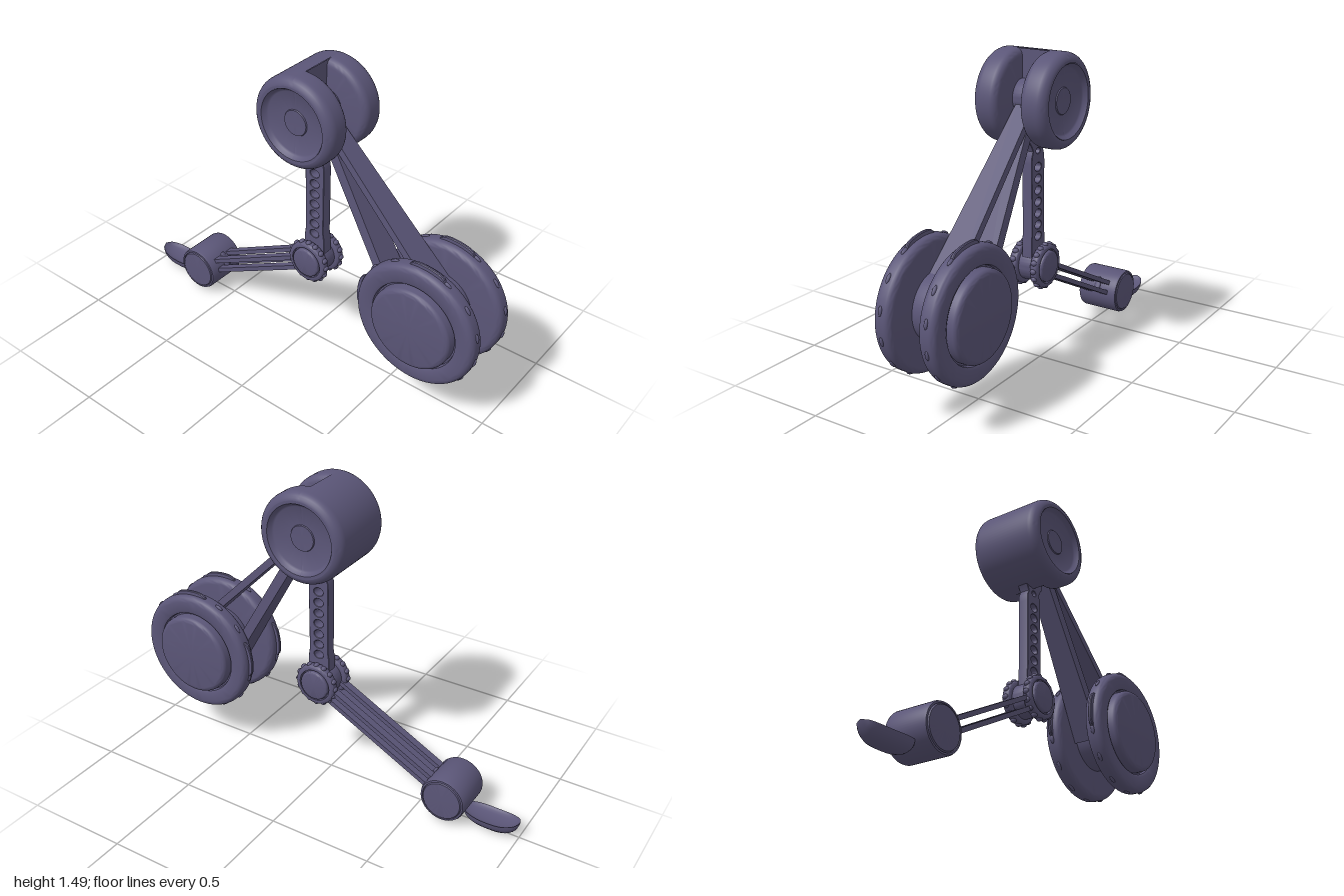
import * as THREE from 'three';
import { toCreasedNormals } from 'three/addons/utils/BufferGeometryUtils.js';

const slate = new THREE.MeshStandardMaterial({ color: 0x5b5678 });
slate.name = 'slate purple';
const slateOpen = slate;
slateOpen.side = THREE.DoubleSide;

function add(parent, name, geometry, x = 0, y = 0, z = 0) {
  const mesh = new THREE.Mesh(geometry, slate);
  mesh.name = name;
  mesh.position.set(x, y, z);
  parent.add(mesh);
  return mesh;
}

// Turned solid around the z axis; points are [radius, z] with z rising. Angle 0 points down, 90 degrees to +x.
function turned(points, start = 0, sweep = Math.PI * 2, segments = 64) {
  const g = new THREE.LatheGeometry(points.map(p => new THREE.Vector2(p[0], p[1])), segments, start, sweep);
  g.rotateX(Math.PI / 2);
  return toCreasedNormals(g, 0.6);
}

// Quarter-round corner between z and radius
function corner(r, z, c, outward) {
  const pts = [];
  for (let i = 0; i <= 6; i++) {
    const a = (i / 6) * Math.PI / 2;
    pts.push(outward > 0
      ? [r - c + c * Math.cos(a), z - c + c * Math.sin(a)]
      : [r - c + c * Math.sin(a), z + c - c * Math.cos(a)]);
  }
  return pts;
}

// Rounded disc profile
const disc = (r, z0, z1, c, inner = 0) => [[inner, z0], ...corner(r, z0, c, -1), ...corner(r, z1, c, 1), [inner, z1]];

// Bar between two points in the xy plane whose z width tapers
function bar(parent, name, a, b, thick, wide0, wide1, z = 0) {
  const dx = b[0] - a[0], dy = b[1] - a[1], len = Math.hypot(dx, dy);
  const g = new THREE.BoxGeometry(len, thick, 1);
  const p = g.attributes.position;
  for (let i = 0; i < p.count; i++) p.setZ(i, p.getZ(i) * (p.getX(i) < 0 ? wide0 : wide1));
  g.computeVertexNormals();
  const m = add(parent, name, g, (a[0] + b[0]) / 2, (a[1] + b[1]) / 2, z);
  m.rotation.z = Math.atan2(dy, dx);
}

// Top drum: solid on one half, split into two cheeks on the other
function hipDrum() {
  const g = new THREE.Group();
  g.name = 'hipDrum';
  g.position.set(0.05, 1.28, 0);
  const R = 0.213, H = 0.185;
  const face = [[0.178, H], [0.165, 0.181], [0.153, 0.162], [0.145, 0.157], [0.061, 0.15], [0.058, 0.155], [0, 0.155]];
  const back = face.map(([r, z]) => [r, -z]).reverse();
  const outer = corner(R, H, 0.045, 1);
  const outerBack = corner(R, -H, 0.045, -1);
  add(g, 'solidHalf', turned([...back, ...outerBack, ...outer, ...face], Math.PI, Math.PI, 40));
  add(g, 'frontCheek', turned([[0, 0.058], ...corner(R, 0.058, 0.035, -1), ...outer, ...face], 0, Math.PI, 40));
  add(g, 'backCheek', turned([...back, ...outerBack, ...corner(R, -0.058, 0.035, 1), [0, -0.058]], 0, Math.PI, 40));
  add(g, 'slotHub', turned(disc(0.08, -0.06, 0.06, 0.002)));
  // Walls closing both ends of the slot
  for (const s of [1, -1]) add(g, 'slotWall', new THREE.PlaneGeometry(0.19, R - 0.004).rotateY(Math.PI / 2), 0, s * R / 2, 0);
  return g;
}

// Double wheel with fins, studs and caps
function bigWheel() {
  const g = new THREE.Group();
  g.name = 'wheel';
  g.position.set(0.69, 0.51, 0);
  add(g, 'wheelHub', turned(disc(0.155, -0.09, 0.09, 0.005)));
  const fin = new THREE.Shape();
  for (let i = 0; i <= 16; i++) {
    const t = i / 8 - 1, a = t * 0.32;
    const r = 0.316 - 0.026 * Math.pow(Math.abs(t), 6);
    fin[i ? 'lineTo' : 'moveTo'](r * Math.cos(a), r * Math.sin(a));
  }
  fin.lineTo(0.28, 0.08);
  fin.lineTo(0.28, -0.08);
  const finGeo = new THREE.ExtrudeGeometry(fin, { depth: 0.008, bevelEnabled: true, bevelSize: 0.003, bevelThickness: 0.004, bevelSegments: 1 });
  finGeo.translate(0, 0, -0.004);
  for (const s of [1, -1]) {
    const side = new THREE.Group();
    side.name = s > 0 ? 'frontTire' : 'backTire';
    side.rotation.y = s > 0 ? 0 : Math.PI;
    g.add(side);
    add(side, 'tire', turned([[0.1, 0.07], ...corner(0.3, 0.07, 0.03, -1), ...corner(0.3, 0.156, 0.03, 1),
      [0.225, 0.156], [0.213, 0.15], [0.209, 0.135], [0.1, 0.135]]));
    add(side, 'cap', turned([[0.202, 0.12], ...corner(0.202, 0.188, 0.025, 1), [0, 0.188]]));
    for (let i = 0; i < 14; i++) {
      const a = (i + 0.5) / 14 * Math.PI * 2;
      const stud = add(side, 'stud', new THREE.SphereGeometry(1, 10, 8), 0.3 * Math.cos(a), 0.3 * Math.sin(a), 0.115);
      stud.scale.set(0.008, 0.022, 0.009);
      stud.rotation.z = a;
    }
    for (const deg of [83, 173]) {
      const f = add(side, 'fin', finGeo, 0, 0, 0.115);
      f.rotation.z = THREE.MathUtils.degToRad(s > 0 ? deg : 180 - deg);
    }
  }
  return g;
}

// Knee joint: two knurled rings on a core
function knee() {
  const g = new THREE.Group();
  g.name = 'knee';
  g.position.set(0.045, 0.5, 0);
  add(g, 'kneeCore', turned(disc(0.08, -0.05, 0.05, 0.004)));
  for (const s of [1, -1]) {
    const side = new THREE.Group();
    side.name = 'kneeSide';
    side.rotation.y = s > 0 ? 0 : Math.PI;
    g.add(side);
    add(side, 'kneeRing', turned([[0.05, 0.035], ...corner(0.103, 0.035, 0.014, -1), ...corner(0.103, 0.078, 0.014, 1), [0.08, 0.078], [0.078, 0.066], [0.05, 0.066]], 0, Math.PI * 2, 48));
    add(side, 'kneeCap', turned([[0.073, 0.06], ...corner(0.073, 0.087, 0.01, 1), [0, 0.087]], 0, Math.PI * 2, 48));
    for (let i = 0; i < 16; i++) {
      const a = i / 16 * Math.PI * 2;
      const k = add(side, 'kneeKnob', new THREE.SphereGeometry(1, 10, 8), 0.101 * Math.cos(a), 0.101 * Math.sin(a), 0.057);
      k.scale.set(0.012, 0.013, 0.016);
      k.rotation.z = a;
    }
  }
  return g;
}

// Perforated upper leg
function upperLeg() {
  const s = new THREE.Shape();
  const half = [[0.054, 0.55], [0.054, 0.62], [0.048, 0.66], [0.05, 0.99], [0.048, 1.02], [0.038, 1.045], [0.05, 1.07], [0.066, 1.09], [0.066, 1.12]];
  half.forEach(([x, y], i) => s[i ? 'lineTo' : 'moveTo'](x, y));
  half.slice().reverse().forEach(([x, y]) => s.lineTo(-x, y));
  const hole = (y, rx, ry) => s.holes.push(new THREE.Path().absellipse(0, y, rx, ry, 0, Math.PI * 2, true));
  for (let i = 0; i < 7; i++) hole(0.64 + i * 0.0545, 0.027, 0.022);
  hole(1.042, 0.018, 0.015);
  const g = new THREE.ExtrudeGeometry(s, { depth: 0.04, bevelEnabled: true, bevelThickness: 0.006, bevelSize: 0.003, bevelSegments: 2, curveSegments: 8 });
  return toCreasedNormals(g.translate(0, 0, -0.02), 0.6);
}

// Shallow bowl-shaped toe, lofted from cross-sections along x
function toe() {
  const nu = 20, nv = 20, pos = [], idx = [];
  for (let i = 0; i <= nu; i++) {
    const u = i / nu, t = 2 * u - 1;
    const x = -1 + 0.28 * u;
    const w = 0.062 * Math.pow(Math.max(0, 1 - Math.pow(Math.abs(t), 2.6)), 0.5);
    const rim = 0.063 + 0.024 * Math.pow(1 - u, 4) + 0.014 * u * u;
    const depth = (rim - 0.004) * Math.pow(Math.max(0, 1 - Math.pow(Math.abs(t), 3)), 0.6);
    for (let j = 0; j <= nv; j++) {
      const a = j / nv * Math.PI * 2, sn = Math.sin(a);
      pos.push(x, rim - (sn > 0 ? depth * sn : -sn * depth * 0.3), w * Math.cos(a));
    }
  }
  for (let i = 0; i < nu; i++) for (let j = 0; j < nv; j++) {
    const a = i * (nv + 1) + j, b = a + nv + 1;
    idx.push(a, a + 1, b, b, a + 1, b + 1);
  }
  const g = new THREE.BufferGeometry();
  g.setAttribute('position', new THREE.Float32BufferAttribute(pos, 3));
  g.setIndex(idx);
  return toCreasedNormals(g, 0.7);
}

export function createModel() {
  const model = new THREE.Group();
  model.name = 'mechanicalLeg';
  model.add(hipDrum(), bigWheel(), knee());

  // Arms from the drum to the wheel
  bar(model, 'lowerArm', [0.08, 1.28], [0.55, 0.46], 0.048, 0.085, 0.14);
  bar(model, 'upperArm', [0.08, 1.28], [0.72, 0.64], 0.034, 0.085, 0.14);

  add(model, 'upperLeg', upperLeg(), 0.053, 0, 0);

  // Four shin rods
  for (const z of [-0.044, 0.044]) for (const dy of [0.022, -0.036])
    bar(model, 'shinRod', [0.02, 0.487 + dy], [-0.62, 0.153 + dy], 0.022, 0.036, 0.036, z);

  // Ankle drum with recessed-edge caps
  const rim = [[0.11, 0.094], [0.106, 0.104], [0.098, 0.105], [0.096, 0.1], [0.092, 0.108], [0, 0.109]];
  const rimBack = rim.map(([r, z]) => [r, -z]).reverse();
  add(model, 'ankleDrum', turned([...rimBack, ...rim]), -0.655, 0.135, 0);
  const key = add(model, 'ankleKey', new THREE.CapsuleGeometry(0.016, 0.05, 4, 12), -0.557, 0.186, 0);
  key.rotation.z = THREE.MathUtils.degToRad(27.5);
  key.scale.x = 0.5;

  add(model, 'toe', toe());
  return model;
}
